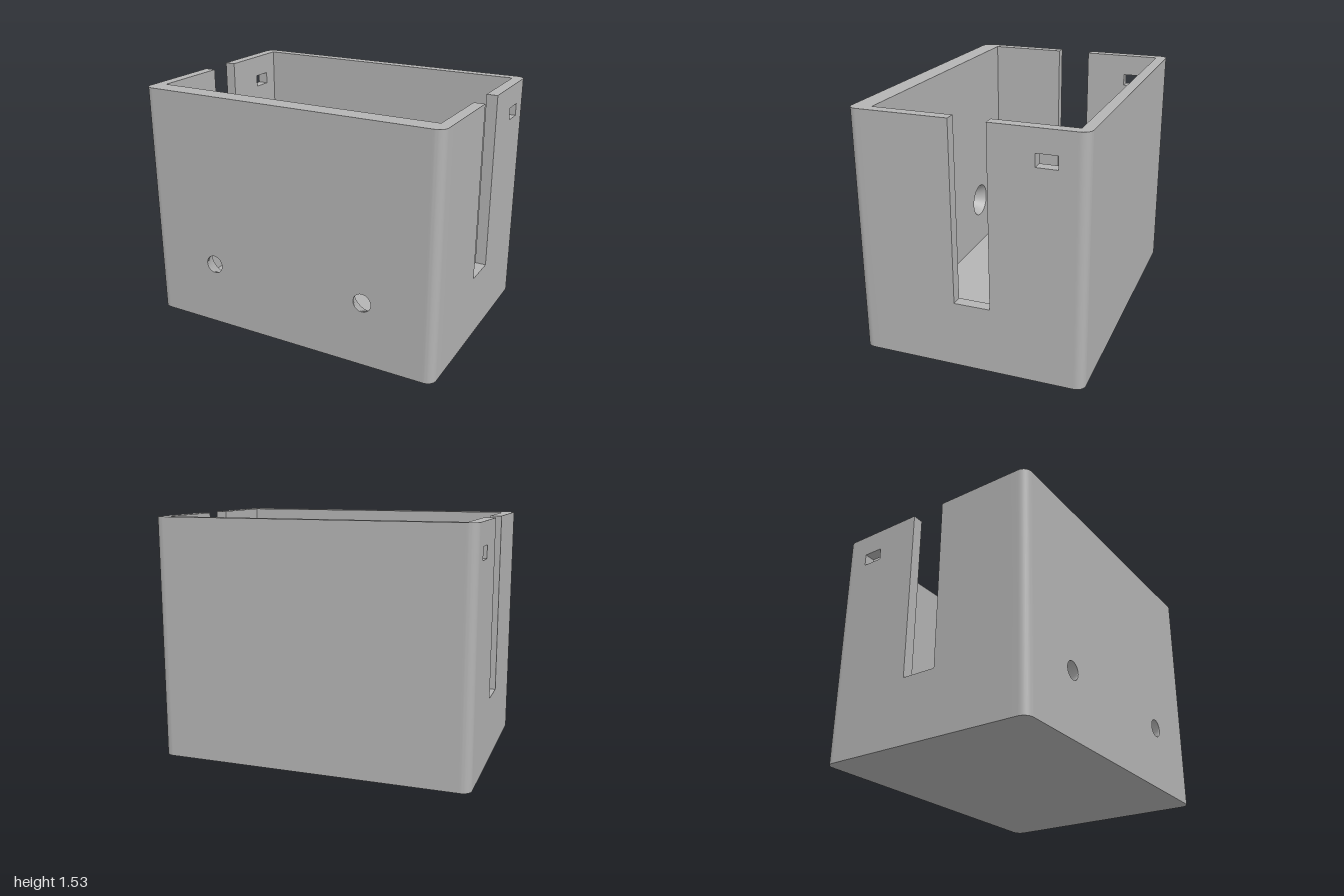
import * as THREE from 'three';
import { toCreasedNormals } from 'three/addons/utils/BufferGeometryUtils.js';

const HEIGHT = 1.535, X_OUT = 1, X_IN = 0.93, Z_OUT = 0.708, Z_FRONT = 0.585, Z_BACK = -0.64;
const CORNER = 0.058, FLOOR = 0.07;
const HOLE_X = 0.535, HOLE_Y = 0.418, HOLE_R = 0.058, SINK_R = 0.118, SKIN = 0.008;

const polygon = (pts) => new THREE.Shape(pts.map(([x, y]) => new THREE.Vector2(x, y)));

const extrude = (shape, depth) => toCreasedNormals(
  new THREE.ExtrudeGeometry(shape, { depth, bevelEnabled: false, curveSegments: 32 }), 0.5);

// Upright rectangle with two round screw holes
function frontShape(radius) {
  const shape = polygon([[-X_IN, 0], [X_IN, 0], [X_IN, HEIGHT], [-X_IN, HEIGHT]]);
  for (const s of [-1, 1]) {
    const hole = new THREE.Path();
    hole.absarc(s * HOLE_X, HOLE_Y, radius, 0, Math.PI * 2, true);
    shape.holes.push(hole);
  }
  return shape;
}

// Side wall outline in (z, y): deep open slot and a small rectangular window
function sideShape() {
  const shape = polygon([
    [Z_BACK, 0], [Z_FRONT, 0], [Z_FRONT, HEIGHT], [0.087, HEIGHT],
    [0.087, 0.415], [-0.137, 0.415], [-0.137, HEIGHT], [Z_BACK, HEIGHT],
  ]);
  shape.holes.push(new THREE.Path(
    [[-0.54, 1.317], [-0.54, 1.395], [-0.412, 1.395], [-0.412, 1.317]].map(([z, y]) => new THREE.Vector2(z, y))));
  return shape;
}

// Corner pillar in plan, with its outer edge rounded
function cornerShape(sx, sz, zInner) {
  const pts = [[sx * X_IN, -zInner], [sx * X_OUT, -zInner]];
  for (let i = 0; i <= 10; i++) {
    const a = (i / 10) * Math.PI / 2;
    pts.push([sx * (X_OUT - CORNER + CORNER * Math.cos(a)), -sz * (Z_OUT - CORNER + CORNER * Math.sin(a))]);
  }
  pts.push([sx * X_IN, -sz * Z_OUT]);
  return polygon(pts);
}

export function createModel() {
  const group = new THREE.Group();
  group.name = 'openBox';
  const grey = new THREE.MeshStandardMaterial({ color: 0xb4b4b4 });
  grey.name = 'grey plastic';
  const add = (name, geometry) => {
    const mesh = new THREE.Mesh(geometry, grey);
    mesh.name = name;
    group.add(mesh);
  };

  // Floor inside the walls
  const depth = Z_FRONT - Z_BACK;
  add('floor', new THREE.BoxGeometry(2 * X_IN, FLOOR, depth)
    .translate(0, FLOOR / 2, (Z_FRONT + Z_BACK) / 2));

  // Plain back wall
  const backDepth = Z_OUT + Z_BACK;
  add('backWall', new THREE.BoxGeometry(2 * X_IN, HEIGHT, backDepth)
    .translate(0, HEIGHT / 2, -Z_OUT + backDepth / 2));

  // Thick front wall: wide holes inside, narrow holes in the outer skin
  const sinkDepth = Z_OUT - Z_FRONT - SKIN;
  add('frontWall', extrude(frontShape(SINK_R), sinkDepth).translate(0, 0, Z_FRONT));
  add('frontWallSkin', extrude(frontShape(HOLE_R), SKIN).translate(0, 0, Z_OUT - SKIN));

  for (const s of [-1, 1]) {
    const side = s > 0 ? 'left' : 'right';

    // Countersink cone, turned inside out so that it faces into the hole
    const cone = new THREE.CylinderGeometry(HOLE_R, SINK_R, sinkDepth, 48, 1, true);
    const index = cone.index;
    for (let i = 0; i < index.count; i += 3) {
      const a = index.getX(i);
      index.setX(i, index.getX(i + 1));
      index.setX(i + 1, a);
    }
    cone.computeVertexNormals();
    cone.rotateX(Math.PI / 2).translate(s * HOLE_X, HOLE_Y, Z_FRONT + sinkDepth / 2);
    add(side + 'Countersink', cone);

    // Slotted side wall
    add(side + 'Wall', extrude(sideShape(), X_OUT - X_IN)
      .rotateY(-Math.PI / 2).translate(s > 0 ? X_OUT : -X_IN, 0, 0));

    // Rounded corners, front and back
    for (const [end, sz, zInner] of [['Front', 1, Z_FRONT], ['Back', -1, Z_BACK]]) {
      add(side + end + 'Corner', extrude(cornerShape(s, sz, zInner), HEIGHT).rotateX(-Math.PI / 2));
    }
  }
  return group;
}
